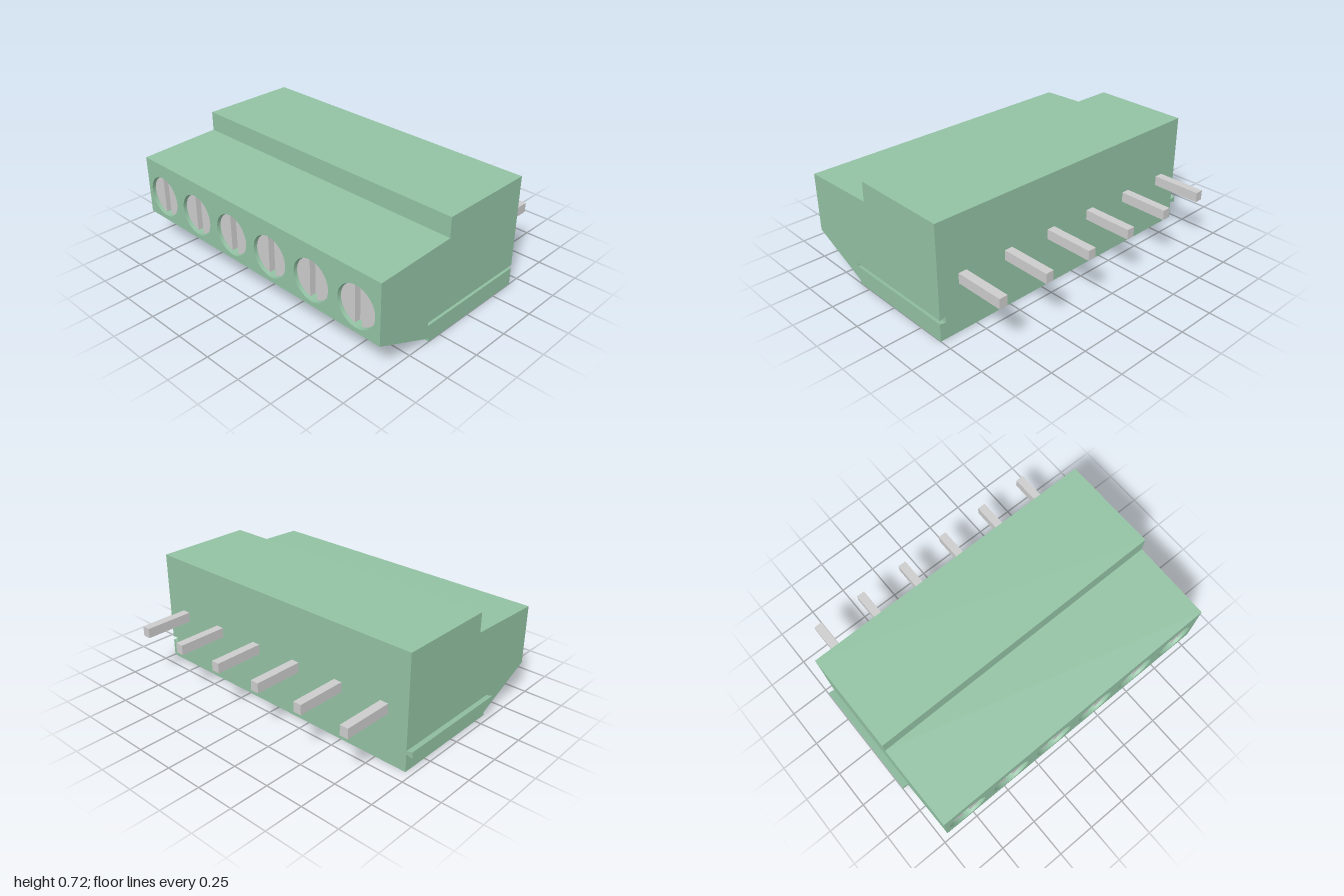
import * as THREE from 'three';
import { mergeGeometries } from 'three/addons/utils/BufferGeometryUtils.js';

const green = new THREE.MeshStandardMaterial({ color: 0x92c1a3 });
const grey = new THREE.MeshStandardMaterial({ color: 0xcccccc });
const greenThin = green.clone();
greenThin.side = THREE.DoubleSide;

const LEFT = 1, RIGHT = -0.96, BACK = -0.42, FRONT = 0.74;
const WELL_R = 0.13, SCREW_R = 0.124, SCREW_Y = 0.357;
const ways = Array.from({ length: 6 }, (_, i) => -0.8 + i * 0.327);

const X = new THREE.Vector3(1, 0, 0), Y = new THREE.Vector3(0, 1, 0), Z = new THREE.Vector3(0, 0, 1);
const shapeOf = (pts) => new THREE.Shape(pts.map(([a, b]) => new THREE.Vector2(a, b)));

// Flat face from a 2D shape, laid out along axes u and v at the given offset
function face(shape, u, v, offset) {
  const n = new THREE.Vector3().crossVectors(u, v);
  const m = new THREE.Matrix4().makeBasis(u, v, n).setPosition(...offset);
  return new THREE.ShapeGeometry(shape, 24).applyMatrix4(m).toNonIndexed();
}

// Flat quads joining two matching point rows
function loft(a, b, closed = false) {
  const pos = [];
  const count = closed ? a.length : a.length - 1;
  for (let i = 0; i < count; i++) {
    const j = (i + 1) % a.length;
    pos.push(...a[i], ...a[j], ...b[j], ...a[i], ...b[j], ...b[i]);
  }
  const g = new THREE.BufferGeometry();
  g.setAttribute('position', new THREE.Float32BufferAttribute(pos, 3));
  g.setAttribute('uv', new THREE.Float32BufferAttribute(new Array(pos.length / 3 * 2).fill(0), 2));
  g.computeVertexNormals();
  return g;
}

function housingGeometry() {
  const parts = [];
  // Side profile as [z, y]
  const lower = [[0.34, 0], [0.34, 0.022], [FRONT, 0.197]];
  const upper = [[FRONT, 0.577], [0.213, 0.597], [0.213, 0.722], [BACK, 0.722]];
  for (const row of [lower, upper]) {
    const at = (x) => row.map(([z, y]) => [x, y, z]);
    parts.push(loft(at(LEFT), at(RIGHT)));
  }
  const profile = [...lower, ...upper, [BACK, 0]];
  parts.push(face(shapeOf(profile), Z, Y, [RIGHT, 0, 0]));

  // Dovetail groove running in from the back of the left side
  const groove = [[LEFT, 0.113], [0.96, 0.105], [0.96, 0.145], [LEFT, 0.135]];
  const END = 0.355;
  const notch = [[BACK, 0.135], [END, 0.135], [END, 0.113], [BACK, 0.113]];
  const leftSide = [...lower, ...upper, ...notch, [BACK, 0]].map(([z, y]) => [-z, y]);
  parts.push(face(shapeOf(leftSide), Z.clone().negate(), Y, [LEFT, 0, 0]));
  const grooveAt = (z) => groove.map(([x, y]) => [x, y, z]);
  parts.push(loft(grooveAt(BACK), grooveAt(END)));
  const flipX = X.clone().negate();
  const mirrored = (pts) => shapeOf(pts.map(([x, y]) => [-x, y]));
  parts.push(face(mirrored(groove), flipX, Y, [0, 0, END]));
  parts.push(face(mirrored([[RIGHT, 0], [LEFT, 0], ...groove, [LEFT, 0.722], [RIGHT, 0.722]]),
    flipX, Y, [0, 0, BACK]));

  // Front face with round openings
  const front = shapeOf([[RIGHT, 0.197], [LEFT, 0.197], [LEFT, 0.577], [RIGHT, 0.577]]);
  // Underside with rectangular wire openings
  const bottom = shapeOf([[RIGHT, BACK], [LEFT, BACK], [LEFT, 0.34], [RIGHT, 0.34]]);
  for (const x of ways) {
    front.holes.push(new THREE.Path().absarc(x, SCREW_Y, WELL_R, 0, Math.PI * 2, true));
    const rect = (z0, z1) => [[x - 0.128, z0], [x + 0.128, z0], [x + 0.128, z1], [x - 0.128, z1]];
    const mouth = rect(-0.14, 0.17), roof = rect(-0.14, 0.1);
    bottom.holes.push(shapeOf(mouth));
    parts.push(loft(mouth.map(([a, z]) => [a, 0, z]), roof.map(([a, z]) => [a, 0.4, z]), true));
    parts.push(face(shapeOf(roof), X, Z, [0, 0.4, 0]));
  }
  parts.push(face(front, X, Y, [0, 0, FRONT]));
  parts.push(face(bottom, X, Z, [0, 0, 0]));
  return mergeGeometries(parts);
}

function slottedScrew() {
  const screw = new THREE.Group();
  const base = new THREE.Mesh(new THREE.CylinderGeometry(SCREW_R, SCREW_R, 0.03, 48), grey);
  base.name = 'screwBase';
  base.rotation.x = Math.PI / 2;
  base.position.z = -0.075;
  screw.add(base);
  // Two raised halves leave the slot between them
  const slot = Math.asin(0.025 / SCREW_R);
  for (const start of [-Math.PI / 2, Math.PI / 2]) {
    const half = new THREE.Shape().absarc(0, 0, SCREW_R, start + slot, start + Math.PI - slot, false);
    const geo = new THREE.ExtrudeGeometry(half, { depth: 0.04, bevelEnabled: false, curveSegments: 24 });
    const mesh = new THREE.Mesh(geo, grey);
    mesh.name = 'screwHalf';
    mesh.position.z = -0.06;
    screw.add(mesh);
  }
  return screw;
}

export function createModel() {
  const model = new THREE.Group();
  model.name = 'terminalBlock';
  const add = (name, geo, mat, x = 0, y = 0, z = 0) => {
    const mesh = new THREE.Mesh(geo, mat);
    mesh.name = name;
    mesh.position.set(x, y, z);
    model.add(mesh);
    return mesh;
  };
  add('housing', housingGeometry(), green);

  // Dovetail rail on the right side
  const rail = shapeOf([[RIGHT, 0.135], [-1, 0.146], [-1, 0.105], [RIGHT, 0.114]]);
  add('dovetailRail', new THREE.ExtrudeGeometry(rail, { depth: 0.77, bevelEnabled: false }), green, 0, 0, BACK);

  // Screw well, screw and contact pin for each way
  const wellGeo = new THREE.CylinderGeometry(WELL_R, WELL_R, 0.08, 48, 1, true);
  wellGeo.rotateX(Math.PI / 2);
  const pinGeo = new THREE.BoxGeometry(0.054, 0.063, 0.33);
  for (const x of ways) {
    add('screwWell', wellGeo, greenThin, x, SCREW_Y, FRONT - 0.04);
    add('wellFloor', new THREE.CircleGeometry(WELL_R, 48), green, x, SCREW_Y, FRONT - 0.08);
    const screw = slottedScrew();
    screw.name = 'screw';
    screw.position.set(x, SCREW_Y, FRONT);
    model.add(screw);
    add('contactPin', pinGeo, grey, x, 0.341, -0.575);
  }
  return model;
}
